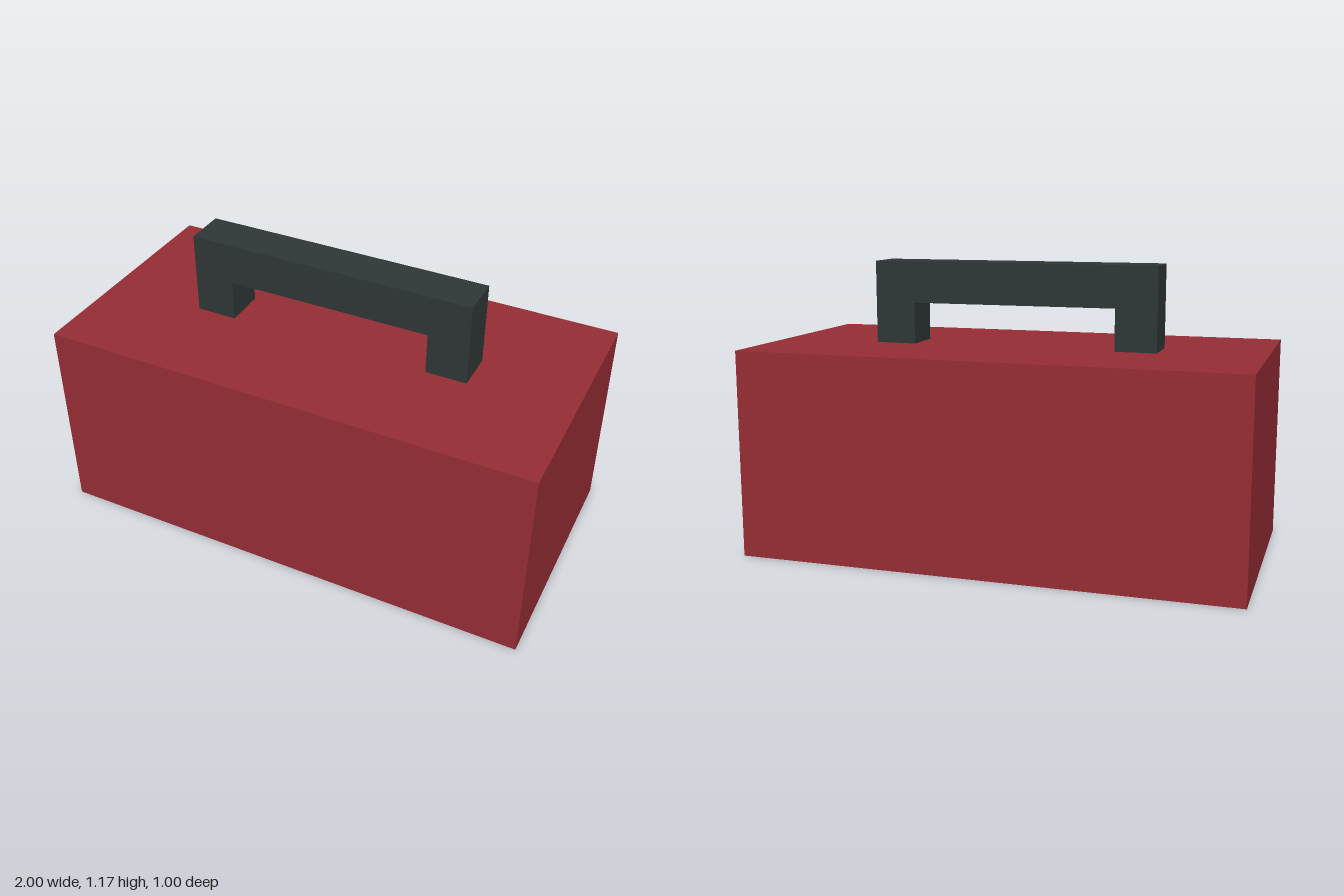
import * as THREE from 'three';

const red = new THREE.MeshStandardMaterial({ name: 'red', color: 0x962d35 });
const charcoal = new THREE.MeshStandardMaterial({ name: 'charcoal', color: 0x2f3737 });

const BODY_HEIGHT = 0.833;
const HANDLE_DEPTH = 0.167;

export function createModel() {
  const model = new THREE.Group();
  model.name = 'toolbox';

  // Solid rectangular case
  const body = new THREE.Mesh(new THREE.BoxGeometry(2, BODY_HEIGHT, 1), red);
  body.name = 'body';
  body.position.y = BODY_HEIGHT / 2;
  model.add(body);

  // Square-cornered carrying handle: one arch outline, extruded in depth
  const outer = 0.583, inner = 0.417, underside = 1.0, top = 1.167;
  const arch = new THREE.Shape([
    [-outer, BODY_HEIGHT], [-inner, BODY_HEIGHT], [-inner, underside], [inner, underside],
    [inner, BODY_HEIGHT], [outer, BODY_HEIGHT], [outer, top], [-outer, top],
  ].map(([x, y]) => new THREE.Vector2(x, y)));
  const handleGeometry = new THREE.ExtrudeGeometry(arch, { depth: HANDLE_DEPTH, bevelEnabled: false });
  handleGeometry.translate(0, 0, -HANDLE_DEPTH / 2);
  const handle = new THREE.Mesh(handleGeometry, charcoal);
  handle.name = 'handle';
  model.add(handle);

  return model;
}
